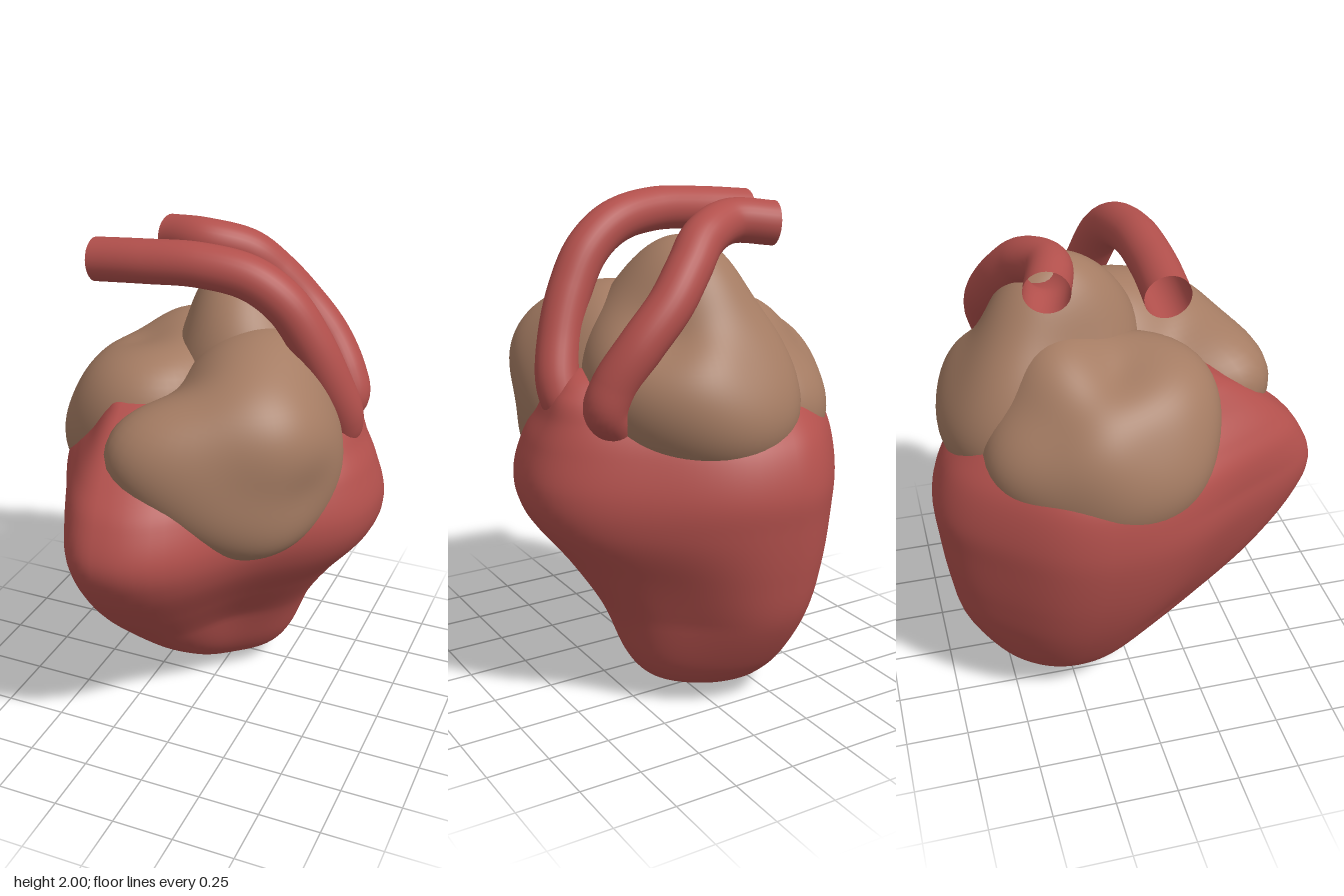
import * as THREE from 'three';

const red = new THREE.MeshStandardMaterial({ color: 0xb2504c, side: THREE.DoubleSide });
red.name = 'muscle red';
const brown = new THREE.MeshStandardMaterial({ color: 0xa57c63 });
brown.name = 'tissue brown';

// Ventricle rings: y, ridge x, ridge z, then x min, x max, z min, z max
const RINGS = [
  [0.0, -0.12, -0.25, -0.12, -0.12, -0.25, -0.25],
  [0.015, -0.12, -0.25, -0.19, -0.03, -0.32, -0.16],
  [0.05, -0.13, -0.25, -0.27, 0.09, -0.41, -0.06],
  [0.1, -0.14, -0.25, -0.33, 0.19, -0.49, 0.02],
  [0.2, -0.16, -0.25, -0.42, 0.265, -0.58, 0.15],
  [0.4, -0.18, -0.24, -0.53, 0.345, -0.69, 0.37],
  [0.6, -0.18, -0.21, -0.605, 0.47, -0.735, 0.57],
  [0.8, -0.17, -0.18, -0.65, 0.62, -0.76, 0.72],
  [0.95, -0.17, -0.17, -0.66, 0.658, -0.768, 0.77],
  [1.1, -0.18, -0.17, -0.635, 0.62, -0.72, 0.71],
  [1.2, -0.2, -0.19, -0.57, 0.575, -0.635, 0.62],
  [1.3, -0.22, -0.2, -0.48, 0.53, -0.5, 0.5],
  [1.38, -0.24, -0.15, -0.42, 0.42, -0.34, 0.38],
  [1.43, -0.25, 0.05, -0.36, 0.1, -0.1, 0.29],
  [1.44, -0.25, 0.15, -0.25, -0.25, 0.15, 0.15],
];

// Lofts the rings; each quadrant is a superellipse with its own roundness
function ventricleGeometry(rows = 110, cols = 96) {
  const spline = new THREE.CubicInterpolant(RINGS.map((_, i) => i), RINGS.flat(), 7, new Float32Array(7));
  const pos = [], idx = [];
  for (let i = 0; i <= rows; i++) {
    const [y, cx, cz, x0, x1, z0, z1] = spline.evaluate((i / rows) * (RINGS.length - 1));
    const low = Math.max(0, 0.4 - y);
    const high = Math.max(0, y - 1);
    const groove = 0.06 * Math.exp(-(((y - 0.35) / 0.2) ** 2));
    const bulge = 0.12 * Math.exp(-(((y - 0.75) / 0.2) ** 2));
    for (let j = 0; j < cols; j++) {
      const a = (j / cols) * Math.PI * 2;
      const c = Math.cos(a), s = Math.sin(a);
      const q = s >= 0 ? (c >= 0 ? 1.25 - groove : 1.4 + high) : (c >= 0 ? 1.5 + bulge : 1.62);
      const p = 2 - (2 - Math.min(2, q + low)) * Math.abs(Math.sin(2 * a));
      const r = (Math.abs(c) ** p + Math.abs(s) ** p) ** (-1 / p);
      pos.push(cx + r * c * (c > 0 ? x1 - cx : cx - x0), Math.max(0, y), cz + r * s * (s > 0 ? z1 - cz : cz - z0));
      if (i < rows) {
        const k = (j + 1) % cols, b = i * cols;
        idx.push(b + j, b + cols + j, b + k, b + k, b + cols + j, b + cols + k);
      }
    }
  }
  const g = new THREE.BufferGeometry();
  g.setAttribute('position', new THREE.Float32BufferAttribute(pos, 3));
  g.setIndex(idx);
  g.computeVertexNormals();
  return g;
}

// Solves a small linear system by elimination
function solve(A, b) {
  const n = b.length;
  for (let i = 0; i < n; i++) {
    for (let j = i + 1; j < n; j++) {
      const f = A[j][i] / A[i][i];
      for (let k = i; k < n; k++) A[j][k] -= f * A[i][k];
      b[j] -= f * b[i];
    }
  }
  for (let i = n - 1; i >= 0; i--) {
    for (let k = i + 1; k < n; k++) b[i] -= A[i][k] * b[k];
    b[i] /= A[i][i];
  }
  return b;
}

// A sphere whose radius is blended smoothly through a few surface points
function lobe(name, center, points) {
  const c = new THREE.Vector3(...center);
  const offs = points.map((p) => new THREE.Vector3(...p).sub(c));
  const dirs = offs.map((o) => o.clone().normalize());
  const mean = offs.reduce((t, o) => t + o.length(), 0) / offs.length;
  const kernel = (u, v) => Math.exp(5.5 * (u.dot(v) - 1));
  const A = dirs.map((u, i) => dirs.map((v, j) => kernel(u, v) + (i === j ? 0.03 : 0)));
  const w = solve(A, offs.map((o) => o.length() - mean));

  const g = new THREE.SphereGeometry(1, 72, 48);
  const pos = g.attributes.position, nor = g.attributes.normal;
  const radius = (d) => dirs.reduce((t, u, i) => t + w[i] * kernel(u, d), mean);
  const at = (d) => d.clone().multiplyScalar(radius(d)).add(c);
  const d = new THREE.Vector3();
  for (let i = 0; i < pos.count; i++) {
    d.fromBufferAttribute(pos, i).normalize();
    const p = at(d);
    // Normal from two nearby surface points, so the seam stays smooth
    const t = new THREE.Vector3(0.31, 0.2, 0.93).cross(d).normalize();
    const s = d.clone().cross(t);
    const pt = at(d.clone().addScaledVector(t, 0.01).normalize()).sub(p);
    const ps = at(d.clone().addScaledVector(s, 0.01).normalize()).sub(p);
    const n = pt.cross(ps).normalize();
    pos.setXYZ(i, p.x, p.y, p.z);
    nor.setXYZ(i, n.x, n.y, n.z);
  }
  const m = new THREE.Mesh(g, brown);
  m.name = name;
  return m;
}

// Open-ended vessel along a smooth path
function vessel(name, points) {
  const path = new THREE.CatmullRomCurve3(points.map((p) => new THREE.Vector3(...p)));
  const m = new THREE.Mesh(new THREE.TubeGeometry(path, 80, 0.085, 28), red);
  m.name = name;
  return m;
}

export function createModel() {
  const heart = new THREE.Group();
  heart.name = 'heart';

  const body = new THREE.Mesh(ventricleGeometry(), red);
  body.name = 'ventricles';
  heart.add(body);

  // Upper chambers
  heart.add(lobe('frontLobe', [0.2, 1.22, 0.15], [
    [0.36, 0.89, 0.34], [0.55, 1.2, 0.08], [0.485, 1.15, 0.28], [0.0, 1.27, 0.61],
    [-0.22, 1.37, 0.5], [0.22, 1.0, 0.51], [0.1, 1.12, 0.58], [0.29, 1.2, 0.5],
    [0.2, 1.66, 0.06], [0.1, 1.51, 0.42], [0.47, 1.47, 0.05], [-0.03, 1.54, 0.12],
    [0.06, 1.63, 0.04], [-0.1, 1.45, 0.3], [0.49, 1.27, -0.1], [0.43, 1.38, -0.15],
    [0.5, 0.98, 0.14], [0.22, 1.64, -0.12], [0.1, 1.3, -0.25], [0.0, 0.95, 0.1],
    [-0.12, 1.12, 0.2], [0.2, 0.88, 0.1],
  ]));
  heart.add(lobe('backLobe', [0.05, 1.35, -0.3], [
    [0.0, 1.86, -0.22], [-0.02, 1.59, -0.53], [-0.05, 1.38, -0.66], [-0.05, 1.15, -0.705],
    [-0.33, 1.3, -0.48], [-0.28, 1.15, -0.58], [0.33, 1.21, -0.53], [0.43, 1.35, -0.28],
    [0.2, 1.73, -0.15], [-0.19, 1.63, -0.2], [0.1, 1.68, 0.03], [0.2, 1.53, -0.43],
    [0.05, 0.95, -0.4], [-0.28, 1.3, -0.25], [0.3, 1.1, -0.1],
  ]));
  heart.add(lobe('sideLobe', [-0.3, 1.2, -0.12], [
    [-0.65, 1.17, -0.05], [-0.58, 1.36, 0.0], [-0.4, 1.52, 0.06], [-0.18, 1.56, 0.1],
    [-0.05, 1.53, 0.08], [-0.2, 1.43, 0.31], [-0.46, 1.29, 0.28], [-0.58, 1.13, 0.18],
    [-0.61, 1.15, -0.28], [-0.52, 1.15, -0.45], [-0.35, 1.2, -0.58], [-0.42, 1.43, -0.36],
    [-0.22, 1.62, -0.26], [-0.3, 1.54, -0.1], [-0.25, 0.85, -0.1], [0.0, 1.2, -0.1],
  ]));

  // Curved vessels rising from the left side and arching over the top
  heart.add(vessel('frontVessel', [
    [-0.465, 1.885, 0.07], [-0.25, 1.905, 0.078], [-0.03, 1.915, 0.068], [0.16, 1.88, 0.04],
    [0.29, 1.79, 0.015], [0.38, 1.65, -0.015], [0.45, 1.48, -0.06], [0.49, 1.32, -0.12],
    [0.47, 1.24, -0.15], [0.38, 1.2, -0.17],
  ]));
  heart.add(vessel('backVessel', [
    [-0.33, 1.885, -0.325], [-0.16, 1.9, -0.285], [0.0, 1.855, -0.35], [0.1, 1.76, -0.41],
    [0.2, 1.645, -0.45], [0.32, 1.51, -0.45], [0.41, 1.37, -0.415], [0.435, 1.28, -0.395],
    [0.38, 1.21, -0.36],
  ]));
  return heart;
}
